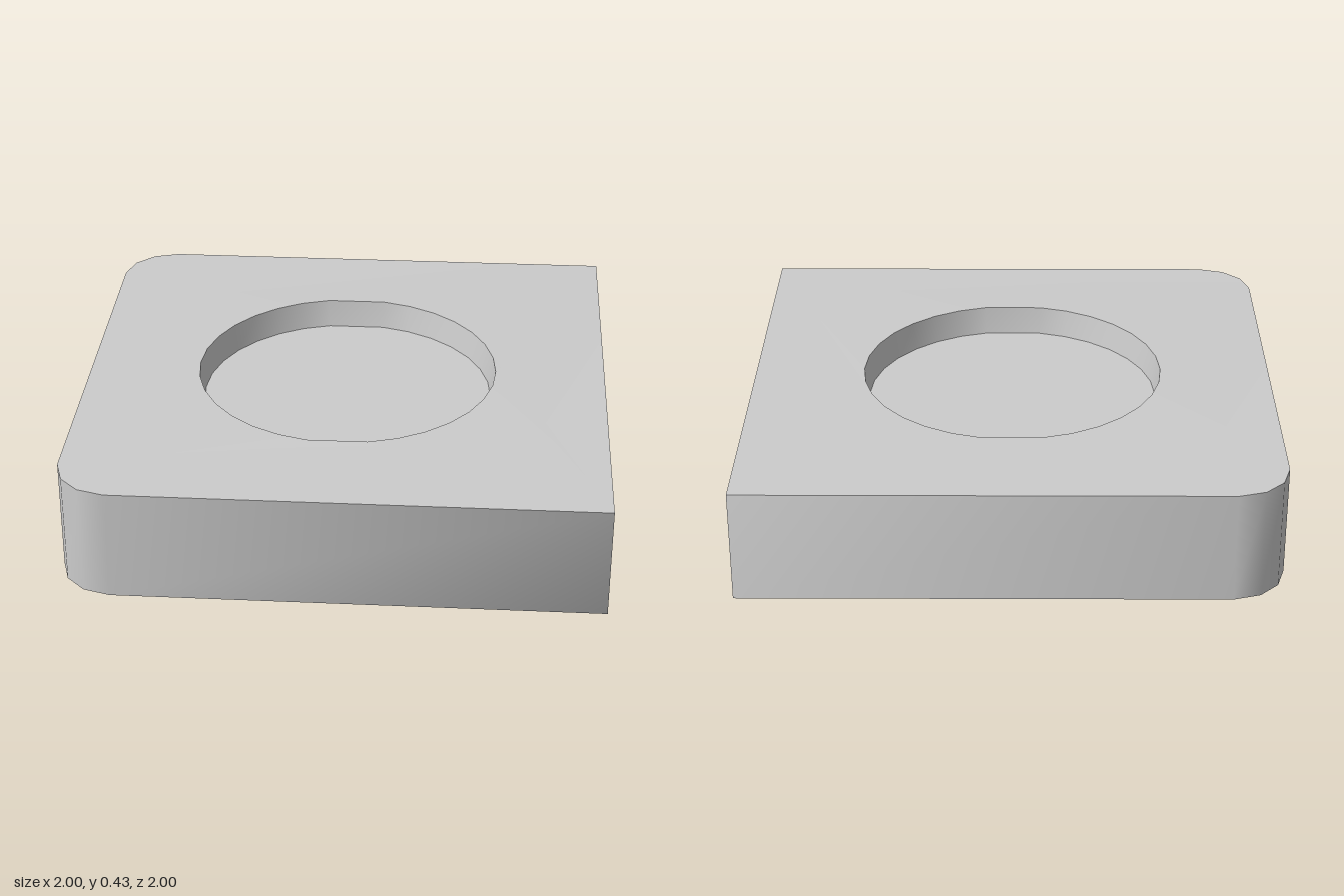
import * as THREE from 'three';

const EDGE_Y = 0.425, RIM_Y = 0.433, FLOOR_Y = 0.325;
const material = new THREE.MeshStandardMaterial({ color: 0xcccccc });

// 32-step ring, flattened at front and back
function ring(r) {
  const pts = [];
  for (let i = 0; i < 32; i++) {
    if (i % 16 === 8) continue;
    const a = (i / 32) * Math.PI * 2;
    pts.push(new THREE.Vector2(r * Math.cos(a), (r + 0.01) * Math.sin(a)));
  }
  return pts;
}

// Smooth band joining a loop at height ya to a loop at height yb
function band(a, ya, b, yb) {
  const n = a.length, pos = [], idx = [];
  a.forEach(p => pos.push(p.x, ya, -p.y));
  b.forEach(p => pos.push(p.x, yb, -p.y));
  for (let i = 0; i < n; i++) {
    const j = (i + 1) % n;
    idx.push(i, j, n + j, i, n + j, n + i);
  }
  const g = new THREE.BufferGeometry();
  g.setAttribute('position', new THREE.Float32BufferAttribute(pos, 3));
  g.setIndex(idx);
  g.computeVertexNormals();
  return g;
}

// Horizontal sheet at height y
function sheet(outline, y, hole) {
  const shape = new THREE.Shape(outline);
  if (hole) shape.holes.push(new THREE.Path(hole));
  return new THREE.ShapeGeometry(shape).rotateX(-Math.PI / 2).translate(0, y, 0);
}

export function createModel() {
  const group = new THREE.Group();
  const add = (name, geometry) => {
    const mesh = new THREE.Mesh(geometry, material);
    mesh.name = name;
    group.add(mesh);
  };

  // Square plan with two rounded corners on the -x side
  const outline = [
    [1, -1], [1, 1], [-0.8, 1], [-0.9, 0.97], [-0.97, 0.9], [-1, 0.8],
    [-1, -0.8], [-0.97, -0.9], [-0.9, -0.97], [-0.8, -1],
  ].map(([x, y]) => new THREE.Vector2(x, y));
  const rim = ring(0.578), floor = ring(0.56);

  add('sideWall', band(outline, 0, outline, EDGE_Y));

  // Top rises very slightly from the outer edge to the rim
  const top = sheet(outline, EDGE_Y, rim);
  const p = top.attributes.position;
  for (let i = 0; i < p.count; i++) {
    if (Math.hypot(p.getX(i), p.getZ(i)) < 0.7) p.setY(i, RIM_Y);
  }
  top.computeVertexNormals();
  add('topSurface', top);

  // Shallow tapered recess
  add('recessWall', band(rim, RIM_Y, floor, FLOOR_Y));
  add('recessFloor', sheet(floor, FLOOR_Y));

  // Underside, turned to face down
  add('underside', sheet(outline, 0).rotateX(Math.PI));

  return group;
}
